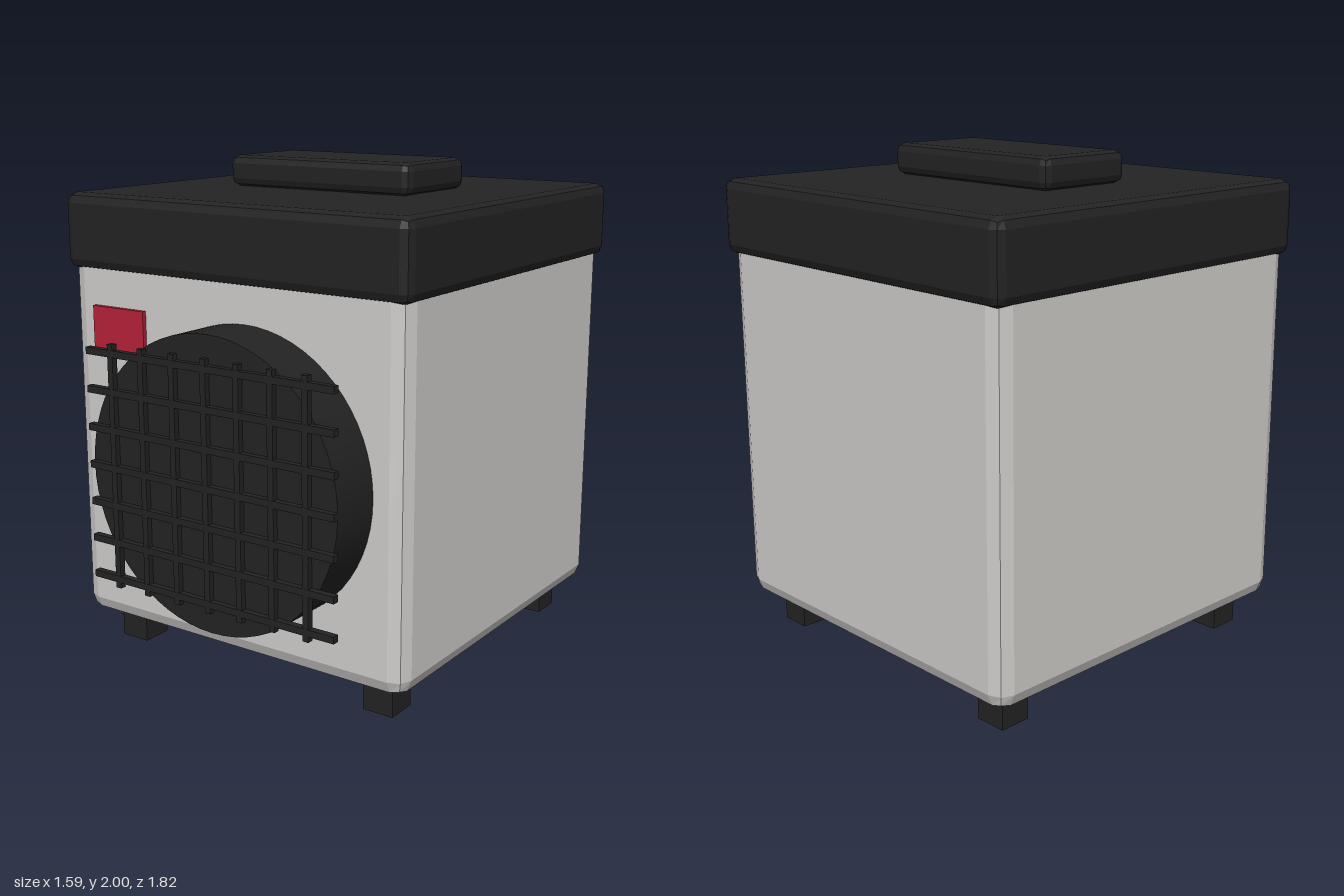
import * as THREE from 'three';
import { RoundedBoxGeometry } from 'three/addons/geometries/RoundedBoxGeometry.js';

function material(name, color) {
  const m = new THREE.MeshStandardMaterial({ color });
  m.name = name;
  return m;
}

export function createModel() {
  const group = new THREE.Group();
  const grey = material('light grey casing', 0xcfcdca);
  const black = material('black plastic', 0x232323);
  const red = material('red label', 0xb42138);

  const add = (name, geometry, mat, x, y, z, parent = group) => {
    const mesh = new THREE.Mesh(geometry, mat);
    mesh.name = name;
    mesh.position.set(x, y, z);
    parent.add(mesh);
    return mesh;
  };

  // Box with two-facet bevelled edges
  const bevelBox = (w, h, d, r) => {
    const g = new RoundedBoxGeometry(w, h, d, 1, r);
    g.computeVertexNormals();
    return g;
  };

  // Casing, lid and the raised block on top
  add('casing', bevelBox(1.56, 1.56, 1.56, 0.065), grey, 0, 0.91, -0.11);
  add('lid', bevelBox(1.59, 0.3, 1.595, 0.04), black, 0, 1.725, -0.112);
  add('topBlock', bevelBox(0.86, 0.125, 0.43, 0.032), black, 0, 1.9375, -0.115);

  // Four feet
  for (const x of [-0.61, 0.61]) {
    for (const z of [0.5, -0.72]) {
      add('foot', new THREE.BoxGeometry(0.13, 0.14, 0.13), black, x, 0.07, z);
    }
  }

  // Fan drum on the front
  const fan = new THREE.Group();
  fan.name = 'fan';
  fan.position.set(0.085, 0.875, 0);
  group.add(fan);
  const drum = new THREE.CylinderGeometry(0.565, 0.565, 0.24, 64).rotateX(Math.PI / 2);
  add('fanDrum', drum, black, 0, 0, 0.77, fan);

  // Grille bars, crossing in one plane
  const barH = new THREE.BoxGeometry(1.13, 0.027, 0.027);
  const barV = new THREE.BoxGeometry(0.025, 0.96, 0.025);
  for (let i = -3; i <= 3; i++) {
    add('grilleBarHorizontal', barH, black, 0, i * 0.148, 0.9, fan);
    add('grilleBarVertical', barV, black, i * 0.148, 0, 0.9, fan);
  }

  // Red label plate
  add('label', new THREE.BoxGeometry(0.26, 0.17, 0.02), red, -0.525, 1.355, 0.678);

  return group;
}
